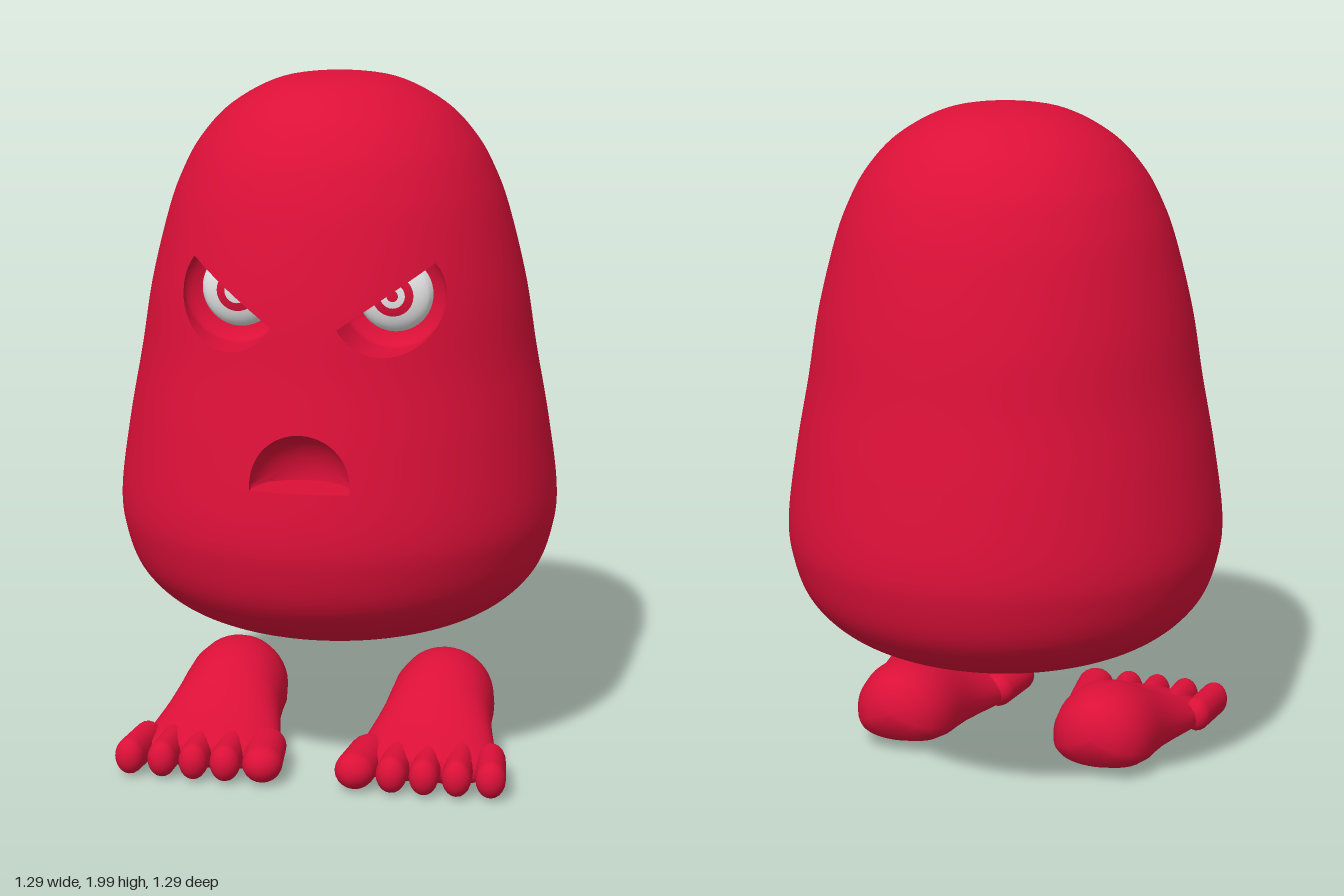
import * as THREE from 'three';
import { toCreasedNormals } from 'three/addons/utils/BufferGeometryUtils.js';

const red = new THREE.MeshStandardMaterial({ color: 0xdc1038 });
red.name = 'crimson';
const white = new THREE.MeshStandardMaterial({ color: 0xeeeeee });
white.name = 'eye white';

// Body profile as (radius, height), sampled finely
const STEP = 8, ROWS = 120, COLS = 144;
const profile = new THREE.SplineCurve([
  [0, 0.365], [0.17, 0.372], [0.34, 0.395], [0.49, 0.455], [0.59, 0.55], [0.635, 0.67],
  [0.644, 0.79], [0.615, 1.0], [0.578, 1.2], [0.545, 1.4], [0.495, 1.6], [0.455, 1.71],
  [0.4, 1.81], [0.31, 1.905], [0.17, 1.978], [0, 2],
].map(([r, y]) => new THREE.Vector2(r, y))).getPoints(ROWS * STEP);

// Radius and slope of the body at a height
function ringAt(y) {
  let k = profile.findIndex((p) => p.y > y) - 1;
  if (k < 0) k = y < 1 ? 0 : profile.length - 2;
  const a = profile[k], b = profile[k + 1];
  const t = THREE.MathUtils.clamp((y - a.y) / (b.y - a.y), 0, 1);
  const n = new THREE.Vector2(b.y - a.y, a.x - b.x).normalize();
  return { r: Math.max(0, a.x + (b.x - a.x) * t), n };
}

// Point on the front half of the body
function onFront(x, y) {
  const { r } = ringAt(y);
  return new THREE.Vector3(x, y, Math.sqrt(Math.max(0, r * r - x * x)));
}

function setBodyNormals(geometry) {
  const p = geometry.attributes.position, out = [];
  for (let i = 0; i < p.count; i++) {
    const { n } = ringAt(p.getY(i));
    const a = Math.atan2(p.getX(i), p.getZ(i));
    out.push(Math.sin(a) * n.x, n.y, Math.cos(a) * n.x);
  }
  geometry.setAttribute('normal', new THREE.Float32BufferAttribute(out, 3));
  return geometry;
}

// Skin a list of closed loops with equal point counts
function loft(loops) {
  const n = loops[0].length, index = [];
  for (let l = 0; l + 1 < loops.length; l++) {
    for (let i = 0; i < n; i++) {
      const a = l * n + i, d = l * n + (i + 1) % n;
      index.push(a, a + n, d + n, a, d + n, d);
    }
  }
  const g = new THREE.BufferGeometry().setFromPoints(loops.flat());
  g.setIndex(index);
  g.computeVertexNormals();
  return g;
}

function add(group, name, geometry, material = red) {
  const mesh = new THREE.Mesh(geometry, material);
  mesh.name = name;
  group.add(mesh);
  return mesh;
}

// Openings: a circle cut by a straight line (normal nx, ny at offset h), hollowed to a bowl
const eyeDent = (s) => ({
  name: s > 0 ? 'leftEyeSocket' : 'rightEyeSocket', cx: 0.222 * s, cy: 1.423, R: 0.15,
  nx: -0.557 * s, ny: 0.83, h: 0.012, inset: 0.06, rimZ: 0.385, depth: 0.06,
  cols: s > 0 ? [2, 19] : [-19, -2], heights: [1.22, 1.6],
});
const dents = [eyeDent(1), eyeDent(-1), {
  name: 'mouth', cx: 0, cy: 0.925, R: 0.14, nx: 0, ny: -1, h: 0.018, inset: 0.05,
  rimZ: 0.595, depth: 0.12, cols: [-8, 8], heights: [0.84, 1.13],
}];
const rowNear = (y) => Math.round(profile.findIndex((p) => p.y > y) / STEP);
dents.forEach((d) => { d.rows = d.heights.map(rowNear); });

const gridPoint = (i, j) => {
  const p = profile[j * STEP], a = (i / COLS) * Math.PI * 2;
  return new THREE.Vector3(Math.sin(a) * p.x, p.y, Math.cos(a) * p.x);
};

// Main shell, leaving out a window around each opening
function shellGeometry() {
  const points = [], index = [], W = COLS + 1, half = COLS / 2;
  for (let j = 0; j <= ROWS; j++) {
    for (let i = -half; i <= half; i++) points.push(gridPoint(i, j));
  }
  for (let j = 0; j < ROWS; j++) {
    for (let i = -half; i < half; i++) {
      if (dents.some(({ cols: c, rows: r }) => i >= c[0] && i < c[1] && j >= r[0] && j < r[1])) continue;
      const a = j * W + i + half;
      index.push(a, a + 1, a + W + 1, a, a + W + 1, a + W);
    }
  }
  const g = new THREE.BufferGeometry().setFromPoints(points);
  g.setIndex(index);
  return setBodyNormals(g);
}

// Fill a window with skin around the opening, then its wall and bowl
function buildDent(group, d) {
  const { cx, cy, R, nx, ny, h } = d, [i0, i1] = d.cols, [j0, j1] = d.rows;
  const edge = [];
  for (let i = i0; i < i1; i++) edge.push(gridPoint(i, j0));
  for (let j = j0; j < j1; j++) edge.push(gridPoint(i1, j));
  for (let i = i1; i > i0; i--) edge.push(gridPoint(i, j1));
  for (let j = j1; j > j0; j--) edge.push(gridPoint(i0, j));

  // Cast rays from an inner point to the cut circle
  const ox = -nx * d.inset, oy = -ny * d.inset;
  const rim = edge.map((p) => {
    const dir = new THREE.Vector2(p.x - cx - ox, p.y - cy - oy).normalize();
    const b = ox * dir.x + oy * dir.y;
    let t = -b + Math.sqrt(b * b + R * R - d.inset ** 2);
    const facing = dir.x * nx + dir.y * ny;
    if (facing > 0) t = Math.min(t, (h + d.inset) / facing);
    return new THREE.Vector2(cx + ox + dir.x * t, cy + oy + dir.y * t);
  });
  // Snap the nearest points to the two sharp corners
  const w = Math.sqrt(R * R - h * h);
  for (const s of [-1, 1]) {
    const corner = new THREE.Vector2(cx + nx * h - ny * w * s, cy + ny * h + nx * w * s);
    rim.reduce((m, p) => (p.distanceTo(corner) < m.distanceTo(corner) ? p : m)).copy(corner);
  }

  const skin = [0, 0.15, 0.3, 0.5, 0.75].map((t) => rim.map((p, i) =>
    onFront(p.x + (edge[i].x - p.x) * t, p.y + (edge[i].y - p.y) * t)));
  skin.push(edge);
  add(group, d.name + 'Surround', setBodyNormals(loft(skin)));

  const bowl = [];
  for (let k = 0; k <= 12; k++) {
    const s = Math.sin((k / 12) * Math.PI / 2);
    bowl.push(rim.map((p) => {
      const x = ox + (p.x - cx - ox) * s, y = oy + (p.y - cy - oy) * s;
      const z = d.rimZ - d.depth * Math.sqrt(Math.max(0, 1 - (x * x + y * y) / (R * R)));
      return new THREE.Vector3(cx + x, cy + y, z);
    }));
  }
  add(group, d.name + 'Bowl', loft(bowl));
  add(group, d.name + 'Wall', toCreasedNormals(loft([bowl[12], skin[0]]), 0.6));
}

// Eyeball: a shallow dome made of coloured ring zones
function buildEye(s) {
  const eye = new THREE.Group(), R = 0.108;
  eye.name = s > 0 ? 'leftEye' : 'rightEye';
  const radii = [R, 0.058, 0.035, 0.016, 0];
  const names = ['outerWhite', 'irisRing', 'innerWhite', 'pupil'];
  names.forEach((name, k) => {
    const pts = [];
    for (let m = 0; m <= 8; m++) {
      const r = radii[k] + (radii[k + 1] - radii[k]) * (m / 8);
      pts.push(new THREE.Vector2(r, 0.05 * Math.sqrt(Math.max(0, 1 - (r / R) ** 2))));
    }
    add(eye, name, new THREE.LatheGeometry(pts, 48).rotateX(Math.PI / 2), k % 2 ? red : white);
  });
  eye.position.set(0.22 * s, 1.42, 0.345);
  return eye;
}

// Foot: lofted sections (z, half width, bottom, top) and five toes
function buildFoot(s) {
  const foot = new THREE.Group();
  foot.name = s > 0 ? 'leftFoot' : 'rightFoot';
  const sections = [
    [0.46, 0, 0.06, 0.07], [0.455, 0.14, 0.03, 0.1], [0.43, 0.19, 0.015, 0.113],
    [0.37, 0.205, 0.008, 0.127], [0.29, 0.195, 0.006, 0.155], [0.2, 0.175, 0.006, 0.2],
    [0.13, 0.162, 0.007, 0.235], [0.06, 0.157, 0.01, 0.258], [0, 0.155, 0.014, 0.265],
    [-0.06, 0.145, 0.025, 0.26], [-0.11, 0.118, 0.045, 0.242], [-0.138, 0.08, 0.08, 0.21],
    [-0.15, 0.035, 0.115, 0.17], [-0.152, 0, 0.14, 0.142],
  ];
  add(foot, 'sole', loft(sections.map(([z, hw, lo, hi]) => Array.from({ length: 40 }, (_, i) => {
    const a = (i / 40) * Math.PI * 2, c = Math.cos(a), q = Math.sin(a);
    // Low, wide belly with a flattened underside
    const base = lo + (hi - lo) * 0.38;
    const y = q > 0 ? base + (hi - base) * q : base - (base - lo) * Math.pow(-q, 0.6);
    return new THREE.Vector3(0.318 * s + hw * c, y, z);
  }))));
  // Toes: x, radius, tip z, outward turn
  [[0.128, 0.058, 0.55, -0.12], [0.24, 0.044, 0.55, -0.04], [0.335, 0.042, 0.55, 0],
    [0.43, 0.042, 0.545, 0.04], [0.53, 0.043, 0.54, 0.12]].forEach(([x, r, tip, turn], k) => {
    const toe = add(foot, 'toe' + (k + 1),
      new THREE.CapsuleGeometry(r, 0.14, 8, 20).rotateX(Math.PI / 2).translate(0, 0, -0.07 - r));
    toe.scale.y = 0.054 / r;
    toe.position.set(x * s, 0.064, tip);
    toe.rotation.y = turn * s;
  });
  return foot;
}

export function createModel() {
  const model = new THREE.Group();
  const body = new THREE.Group();
  body.name = 'body';
  add(body, 'shell', shellGeometry());
  dents.forEach((d) => buildDent(body, d));
  model.add(body);
  for (const s of [1, -1]) model.add(buildEye(s), buildFoot(s));
  return model;
}
